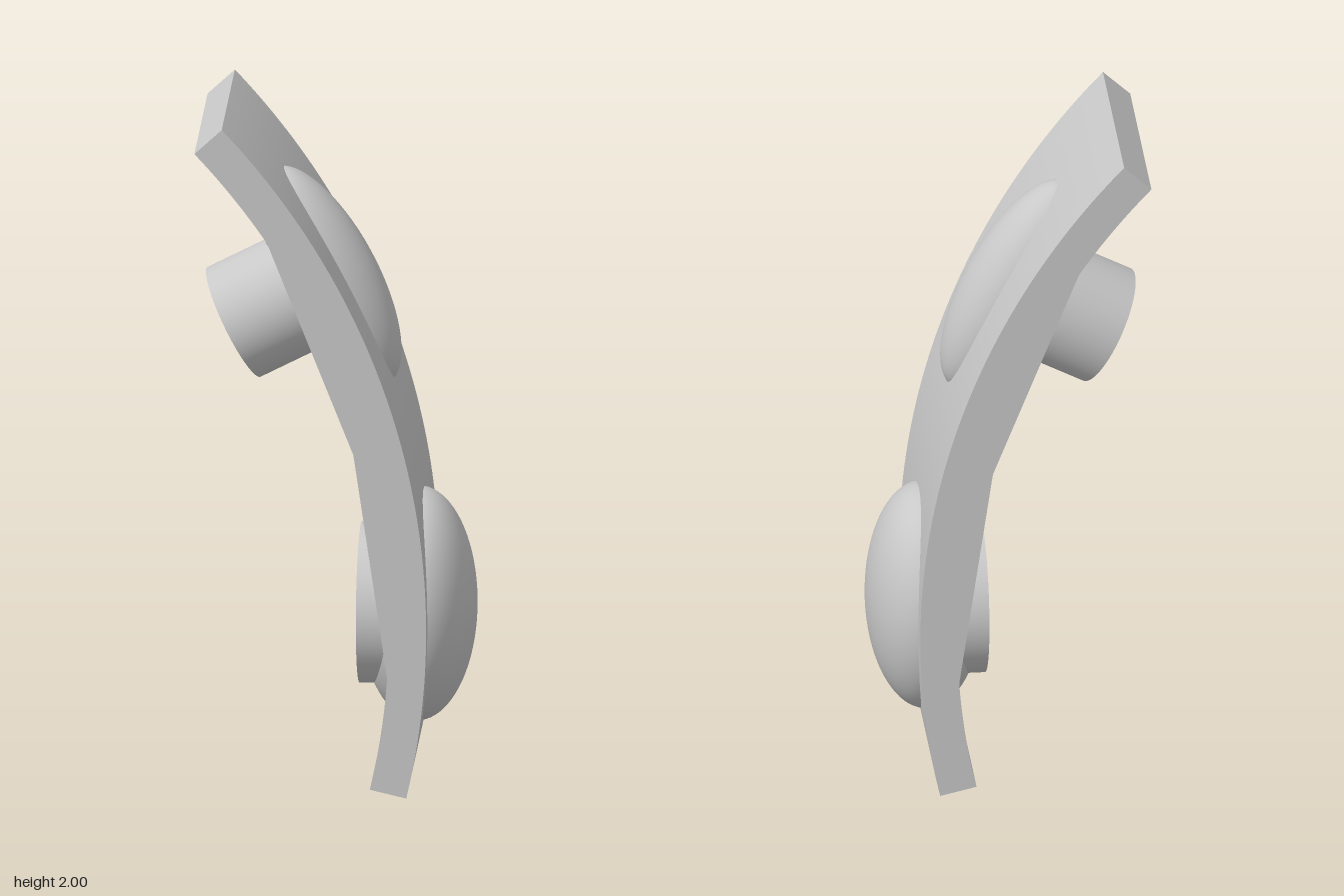
import * as THREE from 'three';

export function createModel() {
  const model = new THREE.Group();
  const grey = new THREE.MeshStandardMaterial({ color: 0xc8c8c8 });

  const add = (parent, name, geometry) => {
    const mesh = new THREE.Mesh(geometry, grey);
    mesh.name = name;
    parent.add(mesh);
    return mesh;
  };

  // Curved plate: a box bent round an arc centre, with a round outside
  const cx = -1.93, cy = 0.5, outer = 2.2, inner = 2.092;
  const low = Math.asin(-0.5 / outer), high = Math.asin(1.5 / outer);

  // Inner side: two flat lands [angle, radius], hollowed around each fitting
  const lands = [[-0.067, inner], [0.26, 2.059], [0.588, inner]];
  const hollows = [0, 0.466];
  const innerRadius = (a, z) => {
    const i = lands.findIndex(([end], k) => k > 0 && a >= lands[k - 1][0] && a <= end);
    if (i < 0) return inner;
    const [a0, r0] = lands[i - 1], [a1, r1] = lands[i];
    const flat = r0 * r1 * Math.sin(a1 - a0) / (r0 * Math.sin(a - a0) + r1 * Math.sin(a1 - a));
    const reach = Math.min(...hollows.map((c) => Math.hypot((a - c) * inner / 0.27, z / 0.2)));
    return THREE.MathUtils.lerp(inner, flat, THREE.MathUtils.smoothstep(reach, 1, 1.5));
  };
  const plate = new THREE.BoxGeometry(1, 1, 0.62, 1, 96, 32);
  const p = plate.attributes.position;
  for (let i = 0; i < p.count; i++) {
    const a = THREE.MathUtils.lerp(low, high, p.getY(i) + 0.5);
    const r = p.getX(i) > 0 ? outer : innerRadius(a, p.getZ(i));
    p.setXY(i, cx + r * Math.cos(a), cy + r * Math.sin(a));
  }
  plate.computeVertexNormals();
  add(model, 'curvedPlate', plate);

  // Each fitting's local x axis points outward through the plate
  const fitting = (name, x, y, z, tilt) => {
    const group = new THREE.Group();
    group.name = name;
    group.position.set(x, y, z);
    group.rotation.z = tilt;
    model.add(group);
    return group;
  };
  const dome = (parent, rx, ry, rz) => {
    const g = new THREE.SphereGeometry(1, 64, 40);
    g.rotateZ(-Math.PI / 2);
    g.scale(rx, ry, rz);
    return add(parent, 'dome', g);
  };
  const disc = (parent, name, radius, from, to) => {
    const g = new THREE.CylinderGeometry(radius, radius, to - from, 64);
    g.rotateZ(-Math.PI / 2);
    g.translate((from + to) / 2, 0, 0);
    return add(parent, name, g);
  };

  // Lower fitting: broad dome with a flat backing disc
  const lower = fitting('lowerFitting', 0.228, 0.498, 0, 0);
  dome(lower, 0.171, 0.345, 0.262);
  disc(lower, 'backingDisc', 0.233, -0.166, -0.04);

  // Upper fitting: narrow tilted dome, collar and projecting peg
  const upper = fitting('upperFitting', -0.303, 1.336, 0.01, 0.478);
  dome(upper, 0.137, 0.36, 0.146).position.set(0.313, 0, 0);
  disc(upper, 'collar', 0.225, 0.23, 0.3);
  disc(upper, 'peg', 0.176, 0, 0.3);

  return model;
}
